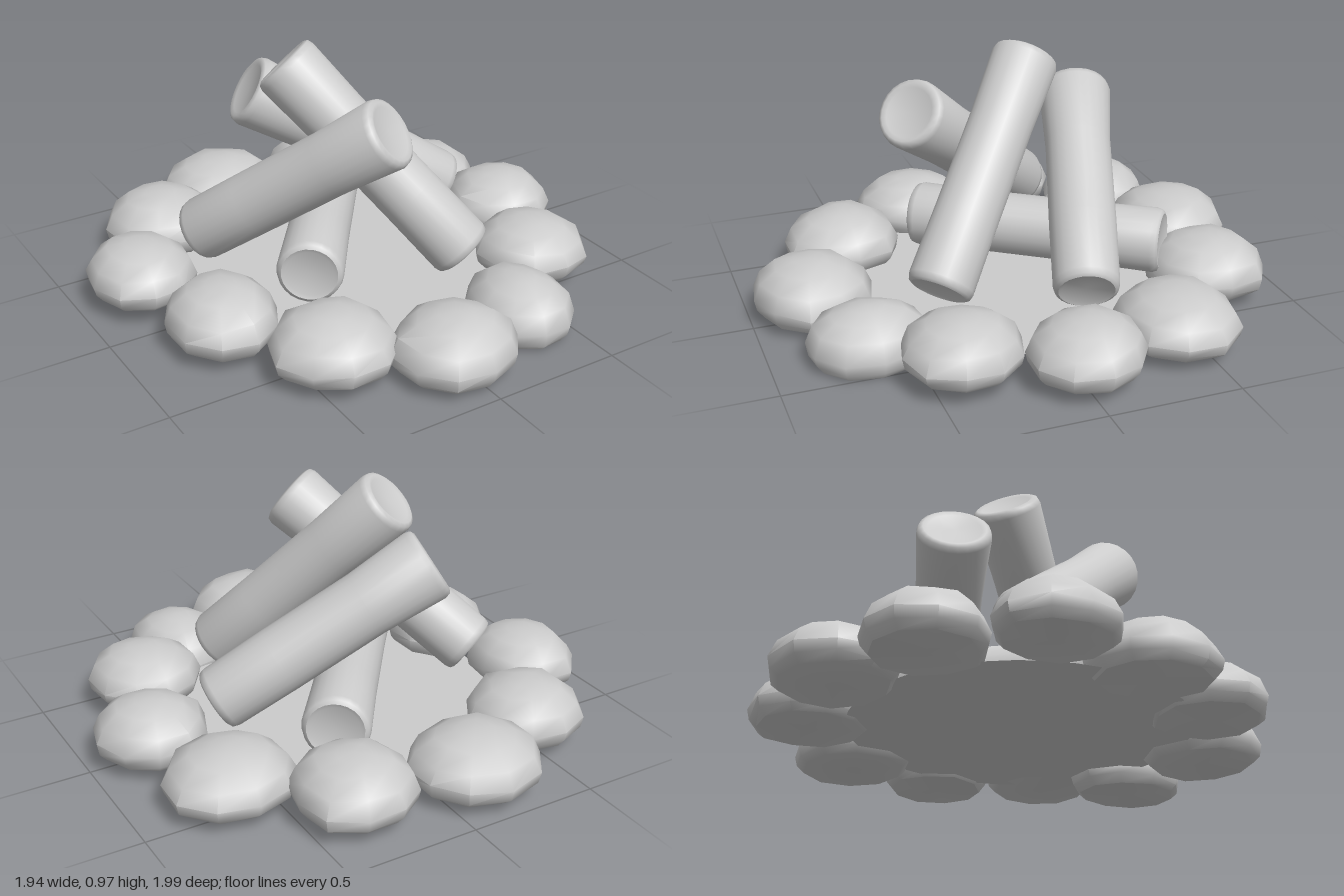
import * as THREE from 'three';
import { toCreasedNormals, mergeVertices } from 'three/addons/utils/BufferGeometryUtils.js';

const material = new THREE.MeshStandardMaterial({ color: 0xcccccc });

function seeded(seed) {
  let s = seed * 7919 + 17;
  return () => (s = (s * 16807) % 2147483647) / 2147483647;
}

// Flat-bottomed, irregular dome lofted from jittered rings
function stoneGeometry(rx, rz, height, seed) {
  const rand = seeded(seed);
  for (let i = 0; i < 5; i++) rand();
  const sides = 10;
  const rings = [[0.84, 0.0], [0.96, 0.14], [1.0, 0.34], [0.88, 0.64], [0.6, 0.88], [0.28, 0.98]];
  const wobble = Array.from({ length: sides }, () => 0.93 + rand() * 0.09);
  const turn = rand() * Math.PI;
  const positions = [];
  const index = [];
  rings.forEach(([r, y], j) => {
    for (let i = 0; i < sides; i++) {
      const a = turn + (i / sides) * Math.PI * 2;
      const k = r * wobble[i];
      const lift = j > 0 && j < 5 ? (rand() - 0.5) * 0.07 : 0;
      positions.push(Math.cos(a) * rx * k, (y + lift) * height, Math.sin(a) * rz * k);
    }
  });
  const bottom = positions.length / 3;
  positions.push(0, 0, 0, 0, height, 0);
  const last = (rings.length - 1) * sides;
  for (let i = 0; i < sides; i++) {
    const n = (i + 1) % sides;
    index.push(bottom, i, n, bottom + 1, last + n, last + i);
    for (let j = 0; j < rings.length - 1; j++) {
      const a = j * sides + i, b = j * sides + n;
      index.push(a, a + sides, b, b, a + sides, b + sides);
    }
  }
  const geometry = new THREE.BufferGeometry();
  geometry.setAttribute('position', new THREE.Float32BufferAttribute(positions, 3));
  geometry.setIndex(index);
  return toCreasedNormals(geometry, 0.85);
}

// Log between two end centres, with bevelled rims and slightly dished ends
function logGeometry(length, r0, r1) {
  const h = length / 2;
  const mid = (r0 + r1) / 2 * 0.96;
  const profile = [
    [0, -h + 0.012], [r0 * 0.72, -h + 0.006], [r0 * 0.84, -h], [r0 * 0.95, -h + 0.008], [r0, -h + 0.03],
    [mid, -h * 0.4], [mid, h * 0.4],
    [r1, h - 0.03], [r1 * 0.95, h - 0.008], [r1 * 0.84, h], [r1 * 0.72, h - 0.006], [0, h - 0.012],
  ].map(([x, y]) => new THREE.Vector2(x, y));
  const geometry = new THREE.LatheGeometry(profile, 24);
  geometry.deleteAttribute('normal');
  geometry.deleteAttribute('uv');
  return toCreasedNormals(mergeVertices(geometry), 0.9);
}

export function createModel() {
  const group = new THREE.Group();
  const add = (name, geometry, mat = material) => {
    const mesh = new THREE.Mesh(geometry, mat);
    mesh.name = name;
    group.add(mesh);
    return mesh;
  };

  // Ground disc inside the ring
  const groundMaterial = material.clone();
  groundMaterial.side = THREE.DoubleSide;
  const ground = add('groundDisc', new THREE.CircleGeometry(0.64, 40), groundMaterial);
  ground.rotation.x = -Math.PI / 2;
  ground.position.y = 0.06;

  // Ring of stones: x, z, half width, half depth, bottom, top
  const stones = [
    [-0.15, -0.77, 0.26, 0.235, 0.04, 0.24],
    [0.31, -0.71, 0.235, 0.235, 0.05, 0.25],
    [0.64, -0.42, 0.25, 0.235, 0.04, 0.23],
    [0.76, -0.02, 0.215, 0.225, 0.05, 0.25],
    [0.61, 0.38, 0.23, 0.23, 0.06, 0.25],
    [0.35, 0.65, 0.2, 0.24, 0.0, 0.21],
    [-0.03, 0.77, 0.245, 0.235, 0.03, 0.24],
    [-0.4, 0.56, 0.235, 0.24, 0.05, 0.25],
    [-0.64, 0.19, 0.215, 0.245, 0.05, 0.25],
    [-0.76, -0.24, 0.215, 0.235, 0.06, 0.25],
    [-0.51, -0.59, 0.23, 0.235, 0.05, 0.25],
  ];
  stones.forEach(([x, z, rx, rz, y0, y1], i) => {
    add(`stone${i + 1}`, stoneGeometry(rx, rz, y1 - y0, i + 1)).position.set(x, y0, z);
  });

  // Logs: lower end, upper end, lower radius, upper radius
  const logs = [
    ['leaningLogLeft', [0.3, 0.19, 0.37], [-0.18, 0.885, -0.15], 0.125, 0.13],
    ['leaningLogRight', [-0.51, 0.23, -0.24], [-0.035, 0.765, 0.37], 0.122, 0.135],
    ['leaningLogBack', [0.54, 0.22, -0.11], [-0.22, 0.71, -0.37], 0.122, 0.14],
    ['lyingLog', [-0.32, 0.225, 0.27], [0.28, 0.235, -0.535], 0.125, 0.125],
  ];
  for (const [name, from, to, r0, r1] of logs) {
    const a = new THREE.Vector3(...from);
    const b = new THREE.Vector3(...to);
    const mesh = add(name, logGeometry(a.distanceTo(b), r0, r1));
    mesh.position.copy(a).add(b).multiplyScalar(0.5);
    mesh.quaternion.setFromUnitVectors(new THREE.Vector3(0, 1, 0), b.sub(a).normalize());
  }

  return group;
}
